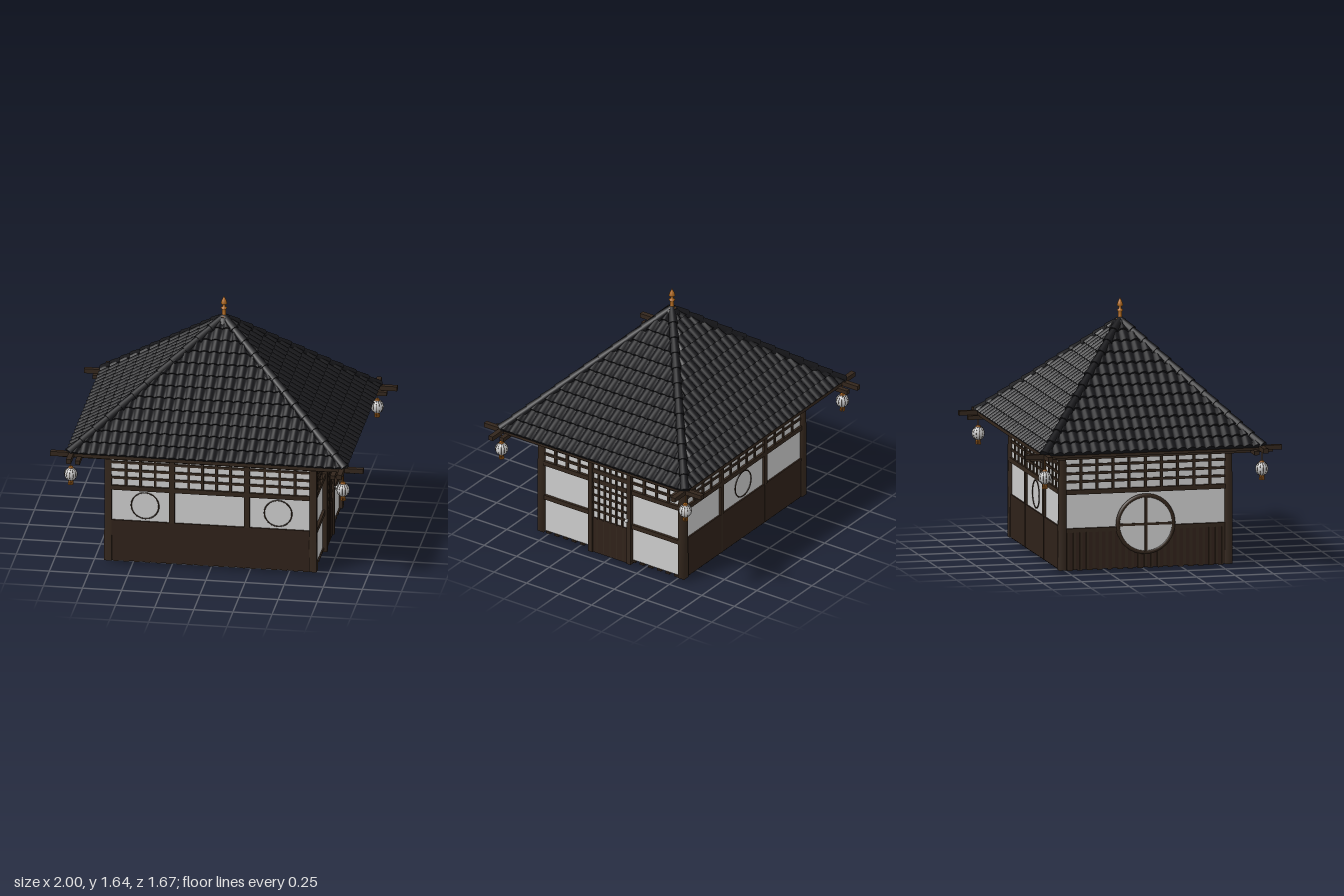
import * as THREE from 'three';

const mat = (color) => new THREE.MeshStandardMaterial({ color, side: THREE.DoubleSide });

export function createModel() {
  const root = new THREE.Group();
  const wood = mat(0x33261c), board = mat(0x2f2119), tile = mat(0x17171a);
  const plain = mat(0xcccccc), brass = mat(0xb0691f);

  const add = (parent, name, geometry, material, x = 0, y = 0, z = 0) => {
    const mesh = new THREE.Mesh(geometry, material);
    mesh.name = name;
    mesh.position.set(x, y, z);
    parent.add(mesh);
    return mesh;
  };
  const box = (parent, name, w, h, d, x, y, z, material = wood) =>
    add(parent, name, new THREE.BoxGeometry(w, h, d), material, x, y, z);
  const group = (parent, name) => {
    const g = new THREE.Group();
    g.name = name;
    parent.add(g);
    return g;
  };

  // Grid of thin bars filling a rectangle, nx by ny cells
  const lattice = (parent, x0, x1, y0, y1, nx, ny, z, t = 0.016) => {
    const g = group(parent, 'lattice');
    for (let i = 1; i < nx; i++)
      box(g, 'latticeUpright', t, y1 - y0, 0.014, x0 + (x1 - x0) * i / nx, (y0 + y1) / 2, z);
    for (let j = 1; j < ny; j++)
      box(g, 'latticeBar', x1 - x0, t, 0.012, (x0 + x1) / 2, y0 + (y1 - y0) * j / ny, z);
  };

  // Plaster body, corner posts and the beaded foot
  box(root, 'plasterBody', 1.31, 0.75, 1.09, 0, 0.4, 0, plain);
  for (const sx of [-1, 1]) for (const sz of [-1, 1]) {
    const post = add(root, 'cornerPost', new THREE.CylinderGeometry(0.03, 0.034, 0.75, 4, 1, false, Math.PI / 4),
      wood, sx * 0.655, 0.395, sz * 0.54);
    post.geometry.computeVertexNormals();
  }

  // Each wall is built facing +z, then turned; d is its distance from the centre
  const makeWall = (name, turn, halfWidth, d) => {
    const g = group(root, name);
    g.rotation.y = turn * Math.PI / 2;
    box(g, 'topBeam', halfWidth * 2, 0.04, 0.04, 0, 0.757, d);
    box(g, 'rail', halfWidth * 2, 0.03, 0.03, 0, 0.517, d);
    const n = Math.round(halfWidth * 30);
    for (let i = 0; i < n; i++)
      box(g, 'footBlock', halfWidth / n, 0.012, 0.02, halfWidth * (-1 + (2 * i + 1) / n), 0.02, d - 0.005);
    return g;
  };

  // Thin hoop on a plaster panel
  const hoop = (parent, x, d) =>
    add(parent, 'panelHoop', new THREE.TorusGeometry(0.088, 0.004, 6, 40), wood, x, 0.4, d);

  // Front and back: three bays over a boarded base
  for (const [name, turn, hoops] of [['frontWall', 0, [-0.42, 0.43]], ['backWall', 2, [0]]]) {
    const d = 0.545, g = makeWall(name, turn, 0.64, d);
    box(g, 'baseBoard', 1.28, 0.275, 0.02, 0, 0.158, d, board);
    for (const x of [-0.247, 0.232]) {
      box(g, 'divider', 0.034, 0.45, 0.03, x, 0.52, d);
      if (turn === 2) box(g, 'baseBatten', 0.012, 0.275, 0.026, x, 0.158, d);
    }
    lattice(g, -0.635, -0.262, 0.53, 0.74, 4, 4, d + 0.002);
    lattice(g, -0.23, 0.215, 0.53, 0.74, 5, 4, d + 0.002);
    lattice(g, 0.249, 0.635, 0.53, 0.74, 4, 4, d + 0.002);
    hoops.forEach((x) => hoop(g, x, d + 0.002));
  }

  // Entrance wall with the sliding door
  {
    const d = 0.66, g = makeWall('entranceWall', 1, 0.525, d);
    for (const s of [-1, 1]) {
      box(g, 'middleRail', 0.37, 0.03, 0.026, s * 0.34, 0.272, d);
      lattice(g, s < 0 ? -0.525 : 0.155, s < 0 ? -0.165 : 0.525, 0.53, 0.74, 4, 4, d + 0.002);
    }
    const door = group(g, 'door');
    door.position.set(-0.007, 0, d);
    box(door, 'doorPane', 0.3, 0.74, 0.015, 0, 0.375, 0, plain);
    for (const s of [-1, 1]) box(door, 'doorPost', 0.032, 0.745, 0.05, s * 0.147, 0.373, 0);
    box(door, 'doorPanel', 0.27, 0.25, 0.03, 0, 0.125, 0, board);
    for (let i = 0; i < 5; i++) box(door, 'doorBatten', 0.008, 0.24, 0.036, -0.1 + i * 0.05, 0.125, 0);
    box(door, 'doorRail', 0.28, 0.03, 0.04, 0, 0.588, 0);
    lattice(door, -0.135, 0.135, 0.25, 0.573, 6, 6, 0.009, 0.013);
    lattice(door, -0.135, 0.135, 0.603, 0.74, 6, 3, 0.009, 0.013);
    add(door, 'doorKnob', new THREE.SphereGeometry(0.012, 12, 8), plain, 0.143, 0.322, 0.043);
    const stem = add(door, 'knobStem', new THREE.CylinderGeometry(0.005, 0.005, 0.03, 8), plain, 0.143, 0.322, 0.03);
    stem.rotation.x = Math.PI / 2;
  }

  // Window wall: slatted base with a large round window
  {
    const d = 0.66, g = makeWall('windowWall', 3, 0.525, d);
    box(g, 'baseBoard', 1.05, 0.245, 0.014, 0, 0.143, d, board);
    for (let i = 0; i < 25; i++) box(g, 'slat', 0.018, 0.24, 0.024, -0.504 + i * 0.042, 0.143, d);
    box(g, 'middleRail', 1.05, 0.026, 0.026, 0, 0.272, d);
    lattice(g, -0.525, 0.525, 0.53, 0.74, 10, 4, d + 0.002);
    const win = group(g, 'roundWindow');
    win.position.set(0, 0.297, d + 0.006);
    add(win, 'windowFrame', new THREE.TorusGeometry(0.18, 0.014, 8, 48), wood);
    const pane = add(win, 'windowPane', new THREE.CylinderGeometry(0.18, 0.18, 0.02, 48), plain);
    pane.rotation.x = Math.PI / 2;
    box(win, 'windowUpright', 0.016, 0.36, 0.014, 0, 0, 0.008);
    box(win, 'windowBar', 0.36, 0.016, 0.014, 0, 0, 0.008);
  }

  // Eaves: soffit, crossed beams with projecting ends, inner purlins
  const eaves = group(root, 'eaves');
  box(eaves, 'soffit', 1.72, 0.012, 1.4, 0, 0.79, 0);
  for (const s of [-1, 1]) {
    box(eaves, 'longEaveBeam', 2, 0.03, 0.032, 0, 0.788, s * 0.7);
    box(eaves, 'shortEaveBeam', 0.032, 0.03, 1.67, s * 0.865, 0.789, 0);
    box(eaves, 'longLowerBeam', 1.88, 0.026, 0.03, 0, 0.766, s * 0.657);
    box(eaves, 'shortLowerBeam', 0.03, 0.026, 1.58, s * 0.815, 0.766, 0);
    box(eaves, 'longPurlin', 1.5, 0.025, 0.026, 0, 0.774, s * 0.605);
    box(eaves, 'shortPurlin', 0.026, 0.025, 1.25, s * 0.735, 0.774, 0);
  }

  // Roof: overlapping rows of barrel tiles, each row narrowing towards the top
  const EAVE = 0.79, TOP = 1.49, ROWS = 12, STEPS = 6;
  const tiledSlope = (W, R, columns) => {
    const pos = [], index = [], H = TOP - EAVE, len = Math.hypot(R, H);
    const n = columns * STEPS;
    const strip = (row, lip) => {
      const start = pos.length / 3;
      const t0 = row / ROWS, t1 = lip ? t0 : (row + 1) / ROWS;
      for (let k = 0; k <= n; k++) {
        const flat = -W + 2 * W * k / n;
        const arch = 0.018 * Math.sin(Math.PI * (k % STEPS) / STEPS);
        const ends = lip ? [[t0, 0], [t0, 0.016 + arch]] : [[t0, 0.016 + arch], [t1, 0.002 + arch]];
        for (const [t, lift] of ends) {
          const half = W * (1 - t);
          pos.push(THREE.MathUtils.clamp(flat, -half, half),
            EAVE + H * t + lift * R / len, R * (1 - t) + lift * H / len);
        }
        const a = start + 2 * k;
        if (k < n && Math.abs(flat + W / n) < W * (1 - t0) + W / n)
          index.push(a, a + 2, a + 3, a, a + 3, a + 1);
      }
    };
    for (let row = 0; row < ROWS; row++) { strip(row, false); strip(row, true); }
    const g = new THREE.BufferGeometry();
    g.setAttribute('position', new THREE.Float32BufferAttribute(pos, 3));
    g.setIndex(index);
    g.computeVertexNormals();
    return g;
  };
  const roof = group(root, 'roof');
  for (let k = 0; k < 4; k++) {
    const geometry = k % 2 ? tiledSlope(0.71, 0.88, 23) : tiledSlope(0.88, 0.71, 28);
    add(roof, 'tiledSlope', geometry, tile).rotation.y = k * Math.PI / 2;
  }

  // Hip ridges: stepped round caps from each corner to the peak
  const up = new THREE.Vector3(0, 1, 0), peak = new THREE.Vector3(0, TOP + 0.005, 0);
  for (const sx of [-1, 1]) for (const sz of [-1, 1]) {
    const corner = new THREE.Vector3(sx * 0.88, EAVE + 0.012, sz * 0.71);
    const dir = peak.clone().sub(corner), step = dir.length() / ROWS;
    for (let i = 0; i < ROWS; i++) {
      const cap = add(roof, 'hipCap', new THREE.CylinderGeometry(0.023, 0.031, step * 1.06, 12), tile);
      cap.position.copy(corner).addScaledVector(dir, (i + 0.5) / ROWS);
      cap.quaternion.setFromUnitVectors(up, dir.clone().normalize());
    }
  }
  add(roof, 'peakCap', new THREE.CylinderGeometry(0.035, 0.06, 0.035, 16), tile, 0, 1.482, 0);

  // Finial
  const lathe = (points, sides = 16) => new THREE.LatheGeometry(points.map(([r, y]) => new THREE.Vector2(r, y)), sides);
  add(root, 'finial', lathe([[0, 1.49], [0.027, 1.49], [0.027, 1.504], [0.014, 1.508], [0.013, 1.55], [0.019, 1.553],
    [0.019, 1.56], [0.01, 1.565], [0.01, 1.58], [0.021, 1.588], [0.014, 1.61], [0, 1.64]]), brass);

  // Hanging lanterns at the four corners
  for (const sx of [-1, 1]) for (const sz of [-1, 1]) {
    const g = group(root, 'lantern');
    g.position.set(sx * 0.87, 0.655, sz * 0.706);
    const shade = add(g, 'shade', new THREE.SphereGeometry(0.041, 20, 14), plain);
    shade.scale.y = 1.1;
    for (let i = 0; i < 6; i++) {
      const rib = add(g, 'shadeRib', new THREE.TorusGeometry(0.041, 0.0012, 4, 28), wood);
      rib.scale.y = 1.1;
      rib.rotation.y = i * Math.PI / 6;
    }
    add(g, 'topCap', new THREE.CylinderGeometry(0.013, 0.018, 0.012, 12), brass, 0, 0.044, 0);
    add(g, 'bottomCap', new THREE.CylinderGeometry(0.019, 0.016, 0.014, 12), brass, 0, -0.043, 0);
    for (let i = 0; i < 6; i++)
      add(g, 'tassel', new THREE.CylinderGeometry(0.004, 0.006, 0.024, 6), brass,
        0.012 * Math.cos(i * Math.PI / 3), -0.06, 0.012 * Math.sin(i * Math.PI / 3));
    add(g, 'cord', new THREE.CylinderGeometry(0.003, 0.003, 0.09, 6), brass, 0, 0.09, 0);
  }
  return root;
}
